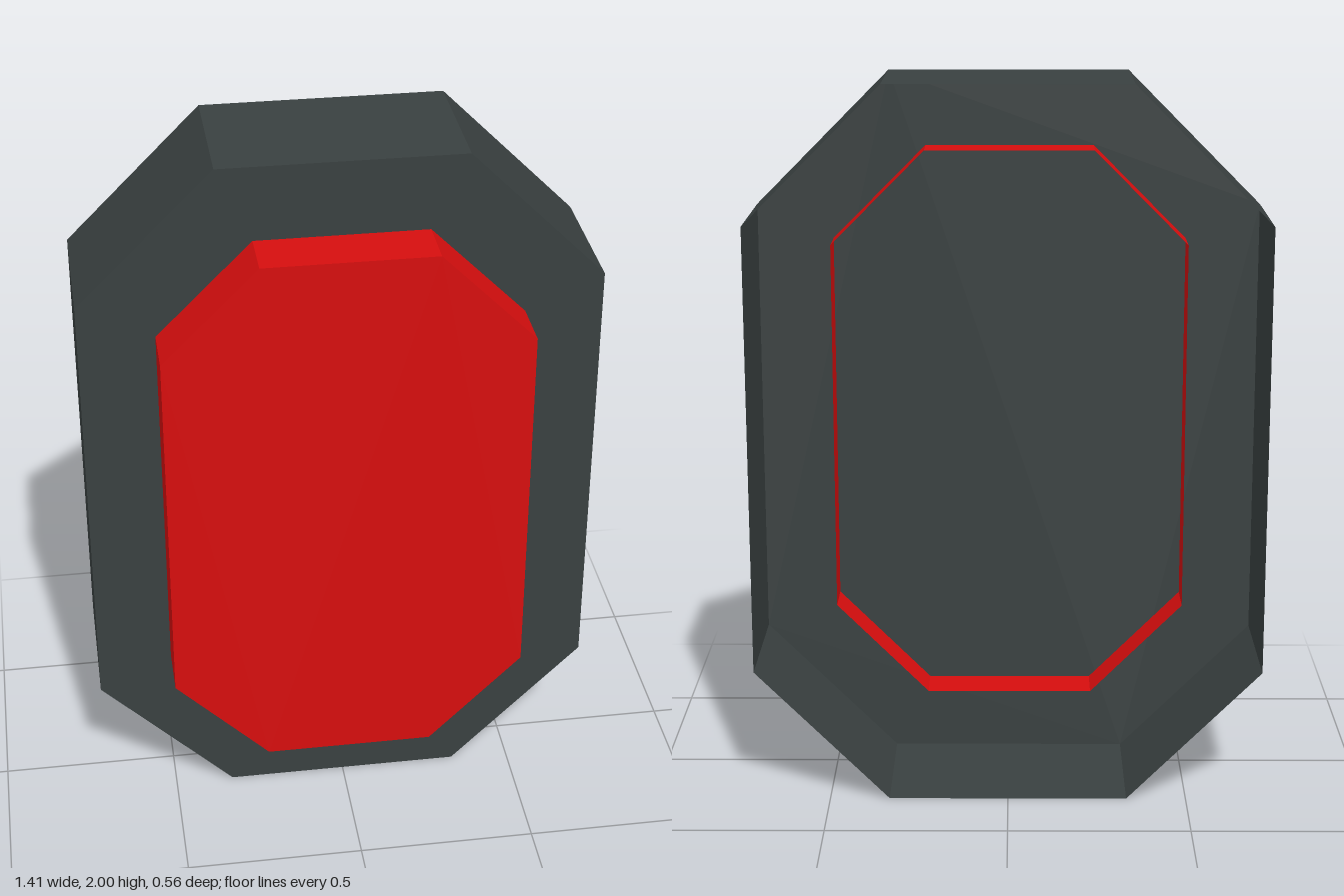
import * as THREE from 'three';

const darkGrey = new THREE.MeshStandardMaterial({ color: 0x394040, side: THREE.DoubleSide });
darkGrey.name = 'darkGrey';
const red = new THREE.MeshStandardMaterial({ color: 0xd60e0e, side: THREE.DoubleSide });
red.name = 'red';

// Tall octagon, counter-clockwise: half width, half height, and half lengths of the flat edges
function octagon(w, h, flatX, flatY) {
  return [
    [w, -flatY], [w, flatY], [flatX, h], [-flatX, h],
    [-w, flatY], [-w, -flatY], [-flatX, -h], [flatX, -h],
  ].map(([x, y]) => new THREE.Vector2(x, y));
}

// Flat-faced band joining the outline at zBack to the outline at zFront
function wallGeometry(outline, zBack, zFront) {
  const positions = [];
  outline.forEach((a, i) => {
    const b = outline[(i + 1) % outline.length];
    positions.push(a.x, a.y, zBack, b.x, b.y, zBack, b.x, b.y, zFront);
    positions.push(a.x, a.y, zBack, b.x, b.y, zFront, a.x, a.y, zFront);
  });
  const geometry = new THREE.BufferGeometry();
  geometry.setAttribute('position', new THREE.Float32BufferAttribute(positions, 3));
  geometry.computeVertexNormals();
  return geometry;
}

// Open-backed shell: side walls plus a front plate
function openShell(name, outline, zBack, zFront, material) {
  const group = new THREE.Group();
  group.name = name;
  const walls = new THREE.Mesh(wallGeometry(outline, zBack, zFront), material);
  walls.name = name + 'Walls';
  const plate = new THREE.Mesh(new THREE.ShapeGeometry(new THREE.Shape(outline)), material);
  plate.name = name + 'FrontPlate';
  plate.position.z = zFront;
  group.add(walls, plate);
  return group;
}

export function createModel() {
  const model = new THREE.Group();
  model.name = 'octagonalButton';

  // Dark housing
  const housing = openShell('housing', octagon(0.707, 1, 0.333, 0.625), -0.28, 0.125, darkGrey);
  housing.position.y = 1;

  // Red button passing through the housing's front plate
  const button = openShell('button', octagon(0.497, 0.788, 0.235, 0.525), 0, 0.28, red);
  button.position.set(-0.003, 1.003, 0);

  model.add(housing, button);
  return model;
}
